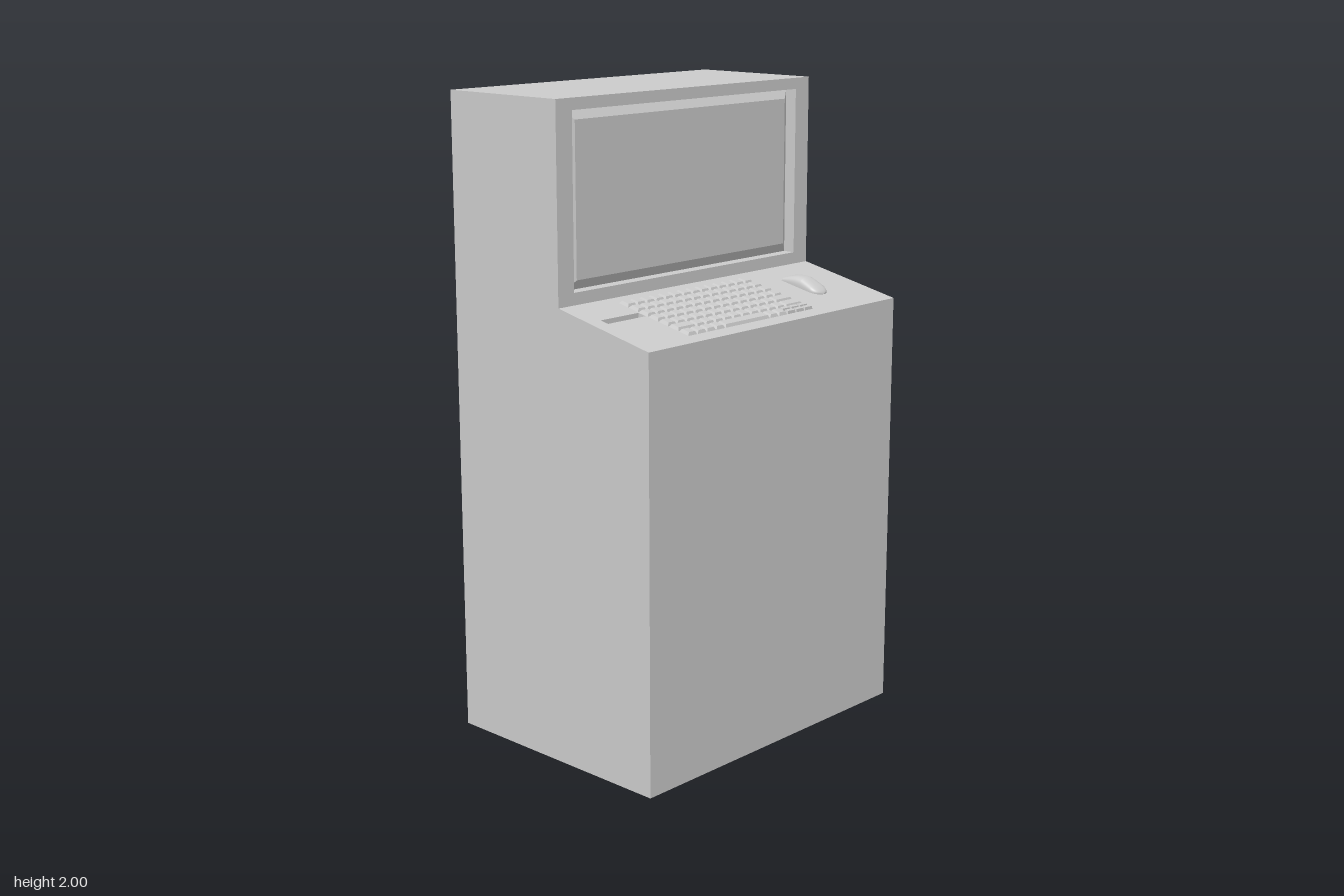
import * as THREE from 'three';
import { ParametricGeometry } from 'three/addons/geometries/ParametricGeometry.js';

const W = 0.553, D = 0.405;            // half width and half depth
const STEP = 0.045;                    // z of the upper front face
const LOW = 1.33, HIGH = 1.405;        // desk height at its front and back
const SLOT_DEPTH = 0.03, SCREEN_DEPTH = 0.04;

const material = new THREE.MeshStandardMaterial({ color: 0xcccccc });

function add(parent, name, geometry, x = 0, y = 0, z = 0) {
  const mesh = new THREE.Mesh(geometry, material);
  mesh.name = name;
  mesh.position.set(x, y, z);
  parent.add(mesh);
  return mesh;
}

function rectPoints(x0, y0, x1, y1) {
  return [[x0, y0], [x1, y0], [x1, y1], [x0, y1]].map(([x, y]) => new THREE.Vector2(x, y));
}

// Rectangular plate with one rectangular opening
function plateWithHole(outer, hole, depth) {
  const shape = new THREE.Shape(rectPoints(...outer));
  shape.holes.push(new THREE.Path(rectPoints(...hole)));
  return new THREE.ExtrudeGeometry(shape, { depth, bevelEnabled: false });
}

// Box standing on z = 0 whose top is drawn in by an inset on all sides
function taperedBox(w, h, depth, inset) {
  const g = new THREE.BoxGeometry(w, h, depth).translate(0, 0, depth / 2);
  const p = g.attributes.position;
  for (let i = 0; i < p.count; i++) {
    if (p.getZ(i) < depth / 2) continue;
    p.setX(i, p.getX(i) - Math.sign(p.getX(i)) * inset);
    p.setY(i, p.getY(i) - Math.sign(p.getY(i)) * inset);
  }
  g.computeVertexNormals();
  return g;
}

// Mouse shell: round towards the user, square at the far end
function mouseShell(radius, length, height) {
  return new ParametricGeometry((u, v, target) => {
    const s = u * length;
    const round = s < radius ? Math.sqrt(Math.max(0, radius ** 2 - (radius - s) ** 2)) : radius;
    const end = u > 0.999 ? 0 : 1;
    const rise = Math.min(1, Math.sqrt(u / 0.5));
    const fall = u > 0.5 ? 1 - 0.68 * ((u - 0.5) / 0.5) ** 2 : 1;
    const a = Math.PI * v, c = Math.cos(a);
    target.set(
      round * Math.sign(c) * Math.abs(c) ** 0.7,
      Math.min(s, length * 0.999),
      end * height * rise * fall * Math.max(0, Math.sin(a)) ** 0.7
    );
  }, 40, 24);
}

export function createModel() {
  const model = new THREE.Group();
  model.name = 'kiosk';

  // Cabinet, extruded across its width from the side profile
  const profile = new THREE.Shape([
    [-D, 0], [D, 0], [D, LOW - SLOT_DEPTH], [STEP, HIGH - SLOT_DEPTH], [STEP, HIGH],
    [STEP - SCREEN_DEPTH, HIGH], [STEP - SCREEN_DEPTH, 2], [-D, 2]
  ].map(([z, y]) => new THREE.Vector2(z, y)));
  const cabinet = new THREE.ExtrudeGeometry(profile, { depth: 2 * W, bevelEnabled: false });
  add(model, 'cabinet', cabinet.rotateY(-Math.PI / 2).translate(W, 0, 0));

  // Bezel around the sunken screen with bevelled edges
  add(model, 'screenBezel',
    plateWithHole([-W, HIGH, W, 2], [-0.49, 1.442, 0.49, 1.965], SCREEN_DEPTH),
    0, 0, STEP - SCREEN_DEPTH);
  add(model, 'screen', taperedBox(0.98, 0.523, 0.02, 0.03), 0, 1.7035, STEP - SCREEN_DEPTH);

  // Sloping desk top with the card slot, sheared so its front stays upright
  const run = D - STEP, climb = HIGH - LOW;
  const desk = plateWithHole([-W, 0, W, 1], [-0.502, 0.583, -0.35, 0.664], SLOT_DEPTH);
  desk.applyMatrix4(new THREE.Matrix4().makeBasis(
    new THREE.Vector3(1, 0, 0), new THREE.Vector3(0, climb, -run), new THREE.Vector3(0, 1, 0)));
  add(model, 'deskTop', desk, 0, LOW - SLOT_DEPTH, D);

  // Group lying on the slope: local y runs to the back, local z points out
  const controls = new THREE.Group();
  controls.name = 'controls';
  controls.position.set(0, LOW, D);
  controls.rotation.x = Math.atan2(climb, run) - Math.PI / 2;
  model.add(controls);

  // Keyboard: seven rows, key widths in units of one column
  const keyboard = new THREE.Group();
  keyboard.name = 'keyboard';
  keyboard.position.set(-0.348, 0.0425, 0);
  controls.add(keyboard);
  const px = 0.0396, py = 0.041, gap = 0.003;
  const key = (col, row, w, h) => add(keyboard, 'key',
    taperedBox(w * px - gap, h * py - gap, 0.009, Math.min(0.0055, h * 0.0055)),
    (col + w / 2) * px, (row + h / 2) * py, 0);
  const ones = (n) => Array(n).fill(1);
  const rows = [
    [...ones(4), 5, 1, 1],
    [2, ...ones(10), 2],
    [...ones(12), 2],
    ones(14), ones(14), ones(14), ones(14)
  ];
  rows.forEach((widths, row) => {
    let col = 0;
    for (const w of widths) {
      key(col, row, w, 1);
      col += w;
    }
  });
  // Half-height arrow keys
  for (let c = 11; c < 14; c++) for (const r of [0, 0.5]) key(c, r, 1, 0.5);

  // Mouse with its wheel
  const mouse = new THREE.Group();
  mouse.name = 'mouse';
  mouse.position.set(0.35, 0.12, 0);
  controls.add(mouse);
  add(mouse, 'mouseShell', mouseShell(0.034, 0.149, 0.031));
  add(mouse, 'mouseWheel',
    new THREE.CylinderGeometry(0.009, 0.009, 0.006, 20).rotateZ(Math.PI / 2), 0, 0.122, 0.012);

  return model;
}
